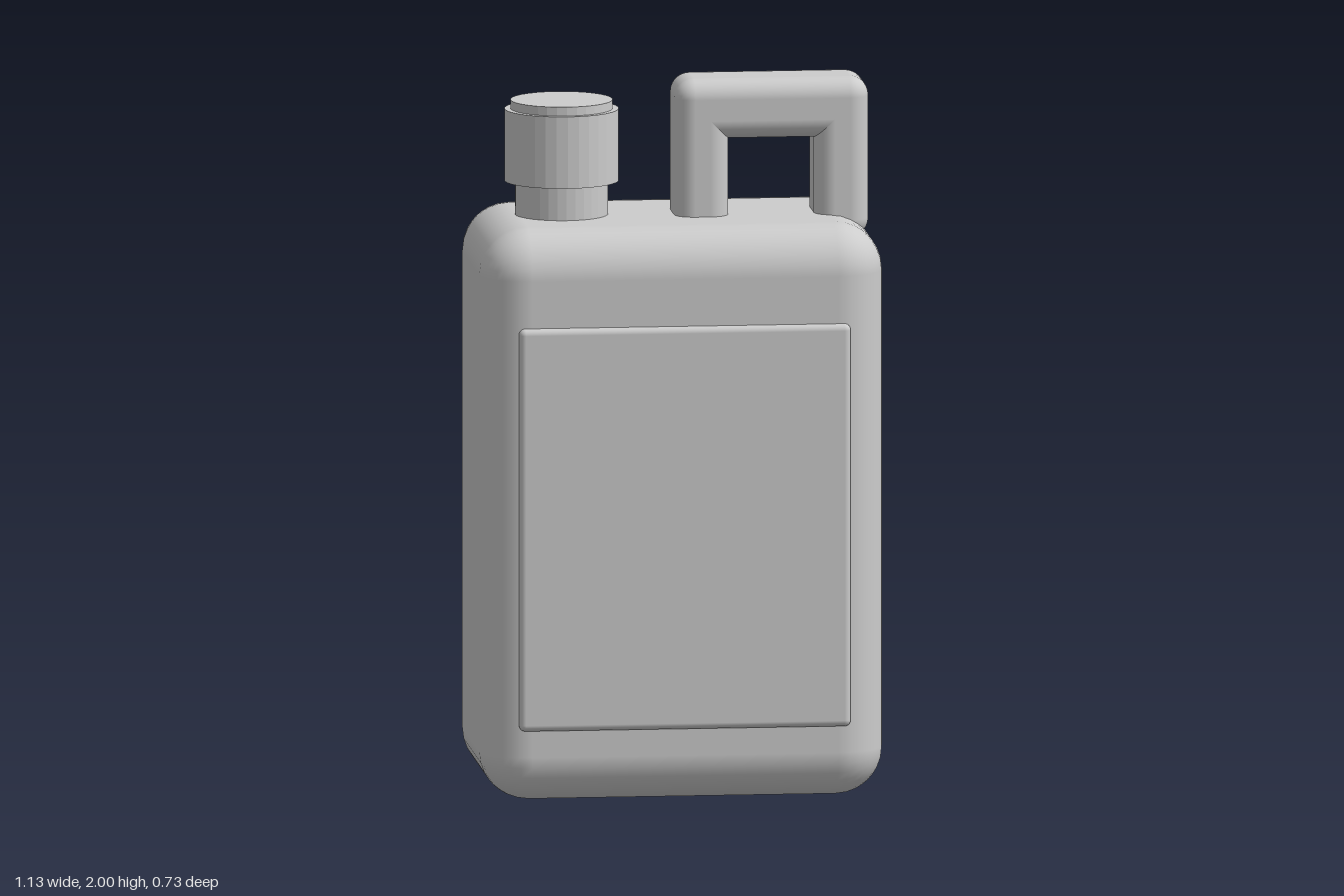
import * as THREE from 'three';
import { RoundedBoxGeometry } from 'three/addons/geometries/RoundedBoxGeometry.js';

export function createModel() {
  const model = new THREE.Group();
  model.name = 'canister';
  const grey = new THREE.MeshStandardMaterial({ color: 0xcccccc });
  grey.name = 'grey plastic';
  const Z = -0.011; // centre plane of tank, spout and handle

  // Rounded block given by its limits on each axis
  function block(name, [x0, x1], [y0, y1], [z0, z1], radius, parent = model) {
    const geometry = new RoundedBoxGeometry(x1 - x0, y1 - y0, z1 - z0, 4, radius);
    const mesh = new THREE.Mesh(geometry, grey);
    mesh.position.set((x0 + x1) / 2, (y0 + y1) / 2, (z0 + z1) / 2);
    mesh.name = name;
    parent.add(mesh);
  }

  // Faceted upright cylinder between two heights
  function drum(name, radius, y0, y1, parent) {
    const geometry = new THREE.CylinderGeometry(radius, radius, y1 - y0, 32).toNonIndexed();
    geometry.computeVertexNormals();
    const mesh = new THREE.Mesh(geometry, grey);
    mesh.position.set(-0.31, (y0 + y1) / 2, Z);
    mesh.name = name;
    parent.add(mesh);
  }

  // Tank and raised front panel
  block('tank', [-0.565, 0.565], [0, 1.615], [-0.367, 0.345], 0.135);
  block('frontPanel', [-0.468, 0.463], [0.21, 1.347], [0.3, 0.363], 0.018);

  // Spout: neck, screw cap and cap top
  const spout = new THREE.Group();
  spout.name = 'spout';
  drum('neck', 0.13, 1.55, 1.72, spout);
  drum('cap', 0.16, 1.71, 1.913, spout);
  drum('capTop', 0.143, 1.9, 1.938, spout);
  model.add(spout);

  // Handle: two legs sunk into the tank and a grip across the top
  const handle = new THREE.Group();
  handle.name = 'handle';
  const depth = [Z - 0.107, Z + 0.107];
  block('innerLeg', [0, 0.152], [1.545, 2], depth, 0.055, handle);
  block('outerLeg', [0.392, 0.545], [1.545, 2], depth, 0.055, handle);
  block('grip', [0, 0.545], [1.83, 2], depth, 0.055, handle);
  model.add(handle);

  return model;
}
